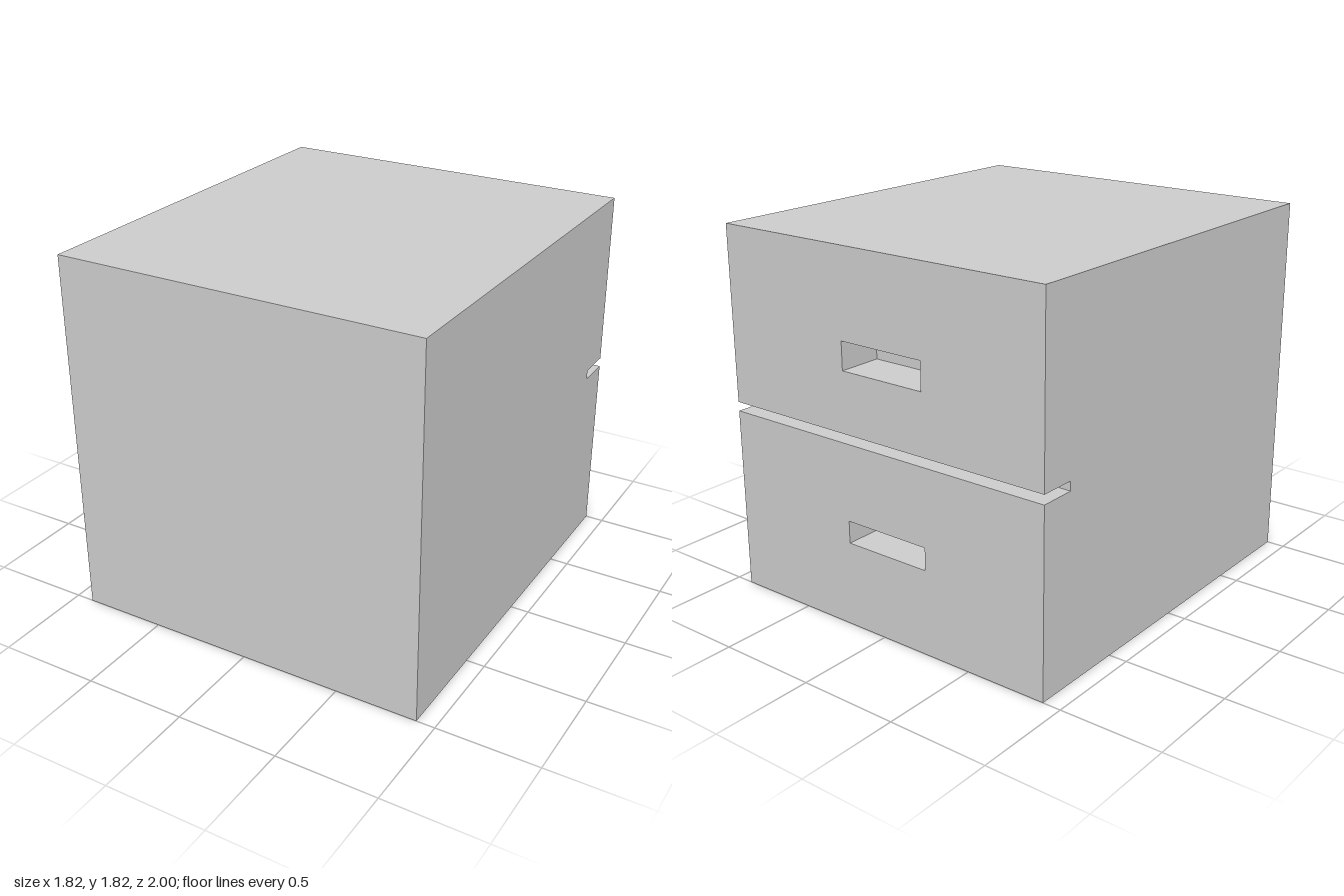
import * as THREE from 'three';

const WIDTH = 1.82, HEIGHT = 1.82;
const BACK = -1, FRONT = 1;
const POCKET_Z = -0.78;   // depth reached by the handle pockets
const GAP_Z = -0.82;      // depth reached by the gap between drawers
const GAP = [0.91, 0.955];
const POCKET_X = [-0.26, 0.2];

const material = new THREE.MeshStandardMaterial({ color: 0xcccccc, flatShading: true });

// Box spanning the full width between two heights and two depths
function block(name, y0, y1, z0, z1) {
  const mesh = new THREE.Mesh(new THREE.BoxGeometry(WIDTH, y1 - y0, z1 - z0), material);
  mesh.position.set(0, (y0 + y1) / 2, (z0 + z1) / 2);
  mesh.name = name;
  return mesh;
}

function rectangle(Type, x0, x1, y0, y1) {
  return new Type([[x0, y0], [x1, y0], [x1, y1], [x0, y1]].map(([x, y]) => new THREE.Vector2(x, y)));
}

// Drawer panel with a rectangular handle pocket cut into it
function drawer(name, y0, y1, pocketY0, pocketY1) {
  const shape = rectangle(THREE.Shape, -WIDTH / 2, WIDTH / 2, y0, y1);
  shape.holes.push(rectangle(THREE.Path, ...POCKET_X, pocketY0, pocketY1));
  const geometry = new THREE.ExtrudeGeometry(shape, { depth: POCKET_Z - BACK, bevelEnabled: false });
  const mesh = new THREE.Mesh(geometry, material);
  mesh.position.z = BACK;
  mesh.name = name;
  return mesh;
}

export function createModel() {
  const cabinet = new THREE.Group();
  cabinet.name = 'cabinet';
  cabinet.add(
    block('cabinetBody', 0, HEIGHT, POCKET_Z, FRONT),
    // Rail closing the gap between the drawers
    block('dividerRail', GAP[0], GAP[1], GAP_Z, POCKET_Z),
    drawer('lowerDrawer', 0, GAP[0], 0.42, 0.53),
    drawer('upperDrawer', GAP[1], HEIGHT, 1.253, 1.39),
  );
  return cabinet;
}
